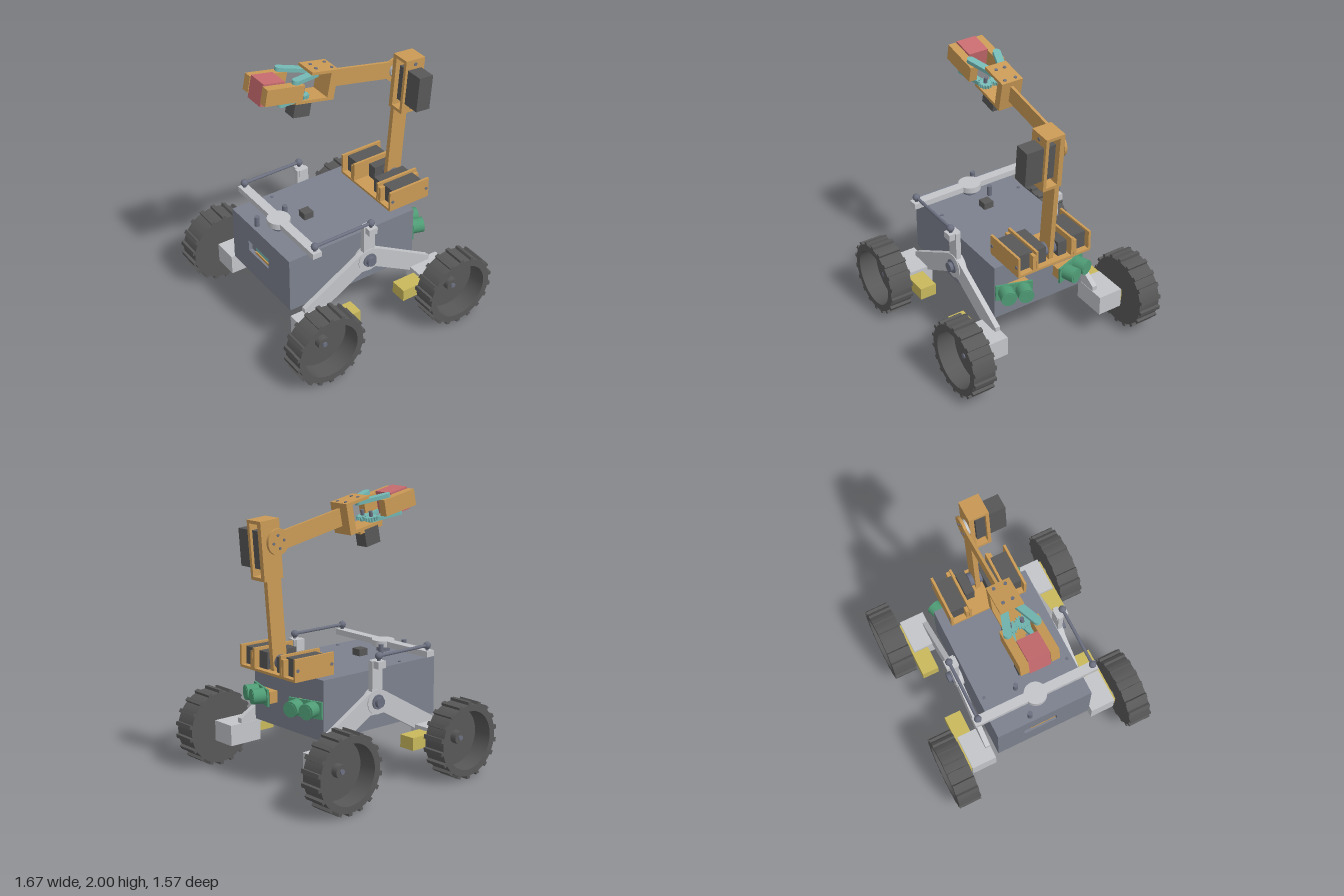
import * as THREE from 'three';
import { toCreasedNormals } from 'three/addons/utils/BufferGeometryUtils.js';

const mat = (name, color) => Object.assign(new THREE.MeshStandardMaterial({ color }), { name });
const M = {
  body: mat('slate body', 0x7c818e),
  dark: mat('dark grey', 0x585858),
  light: mat('light grey', 0xc3c5c9),
  metal: mat('metal grey', 0x6c7080),
  yellow: mat('motor yellow', 0xc8b85c),
  orange: mat('arm orange', 0xca9a56),
  green: mat('sensor green', 0x4f9c76),
  teal: mat('gripper teal', 0x74b9b5),
  red: mat('payload red', 0xc76b6f),
};

function add(parent, name, geo, material, x = 0, y = 0, z = 0) {
  const m = new THREE.Mesh(geo, material);
  m.name = name;
  m.position.set(x, y, z);
  parent.add(m);
  return m;
}
// Box given by its limits on each axis
function box(parent, name, material, x0, x1, y0, y1, z0, z1) {
  return add(parent, name, new THREE.BoxGeometry(x1 - x0, y1 - y0, z1 - z0), material,
    (x0 + x1) / 2, (y0 + y1) / 2, (z0 + z1) / 2);
}
// Cylinder along 'x', 'y' or 'z'
function cyl(parent, name, material, r, len, axis, x, y, z, sides = 24) {
  const g = new THREE.CylinderGeometry(r, r, len, sides);
  if (axis === 'x') g.rotateZ(-Math.PI / 2);
  if (axis === 'z') g.rotateX(Math.PI / 2);
  return add(parent, name, g, material, x, y, z);
}
function group(parent, name, x = 0, y = 0, z = 0) {
  const g = new THREE.Group();
  g.name = name;
  g.position.set(x, y, z);
  parent.add(g);
  return g;
}
const extrude = (shape, depth) =>
  new THREE.ExtrudeGeometry(shape, { depth, bevelEnabled: false, curveSegments: 16 });
const polygon = pts => new THREE.Shape(pts.map(p => new THREE.Vector2(...p)));
function rect(w, h) {
  return [[-w / 2, -h / 2], [w / 2, -h / 2], [w / 2, h / 2], [-w / 2, h / 2]];
}
function framePlate(w, h, hw, hh, depth, hx = 0, hy = 0) {
  const s = polygon(rect(w, h));
  s.holes.push(polygon(rect(hw, hh).map(([x, y]) => [x + hx, y + hy]).reverse()));
  return extrude(s, depth);
}
// Flat bar with rounded ends from (x0,z0) to (x1,z1)
function link(parent, name, x0, z0, x1, z1, y, width, thick) {
  const len = Math.hypot(x1 - x0, z1 - z0), r = width / 2;
  const s = new THREE.Shape();
  s.absarc(0, 0, r, Math.PI / 2, Math.PI * 1.5, false);
  s.absarc(len, 0, r, -Math.PI / 2, Math.PI / 2, false);
  const g = extrude(s, thick).rotateX(-Math.PI / 2);
  const m = add(parent, name, g, M.teal, x0, y - thick / 2, z0);
  m.rotation.y = -Math.atan2(z1 - z0, x1 - x0);
}

function buildBody(root) {
  const b = group(root, 'body');
  box(b, 'hull', M.body, -0.59, 0.432, 0.378, 0.805, -0.37, 0.37);
  // Rear panel with a slot showing the electronics behind it
  const panel = add(b, 'rearPanel', framePlate(0.74, 0.427, 0.26, 0.085, 0.03, -0.03, 0.02),
    M.body, -0.59, 0.5915, 0);
  panel.rotation.y = -Math.PI / 2;
  box(b, 'circuitBoard', M.teal, -0.596, -0.59, 0.575, 0.65, -0.1, 0.1);
  box(b, 'boardTray', M.orange, -0.605, -0.59, 0.57, 0.588, -0.1, 0.16);
  for (const z of [-0.33, 0.33]) cyl(b, 'lidScrew', M.metal, 0.012, 0.008, 'y', -0.313, 0.806, z, 12);
  for (const x of [-0.58, -0.35]) cyl(b, 'stopPin', M.metal, 0.018, 0.08, 'y', x, 0.842, -0.1);
  box(b, 'powerSwitch', M.dark, -0.275, -0.2, 0.805, 0.855, -0.035, 0.04);
  // Differential bar across the lid
  cyl(b, 'barPivot', M.metal, 0.05, 0.04, 'y', -0.465, 0.824, 0);
  cyl(b, 'barHub', M.light, 0.083, 0.045, 'y', -0.465, 0.864, 0, 32);
  box(b, 'differentialBar', M.light, -0.5, -0.43, 0.843, 0.886, -0.483, 0.483);
}

function buildWheel(parent, x) {
  const w = group(parent, 'wheel', x, 0.28, 0);
  const profile = [[0, 0.615], [0.26, 0.615], [0.26, 0.787], [0.212, 0.787], [0.208, 0.65], [0, 0.65]];
  const g = new THREE.LatheGeometry(profile.map(p => new THREE.Vector2(...p)), 48).rotateX(Math.PI / 2);
  add(w, 'rim', toCreasedNormals(g, 0.6), M.dark);
  cyl(w, 'hub', M.dark, 0.048, 0.06, 'z', 0, 0, 0.67);
  cyl(w, 'axle', M.metal, 0.018, 0.14, 'z', 0, 0, 0.64, 16);
  for (let i = 0; i < 18; i++) {
    const a = (i + 0.5) / 18 * Math.PI * 2;
    const lug = add(w, 'treadLug', new THREE.BoxGeometry(0.03, 0.025, 0.172), M.dark,
      Math.cos(a) * 0.268, Math.sin(a) * 0.268, 0.701);
    lug.rotation.z = a + Math.PI / 2;
  }
}

// One side's rocker with both wheels, built on +z and turned for the other side
function buildSide(root, s) {
  const side = group(root, s > 0 ? 'rightSuspension' : 'leftSuspension');
  if (s < 0) side.rotation.y = Math.PI;
  const half = [[0.047, 0.885], [0.047, 0.67], [0.085, 0.652], [0.54, 0.39], [0.54, 0.3],
    [0.47, 0.27], [0.295, 0.372], [0.063, 0.504]];
  const outline = [...half, ...half.map(([x, y]) => [-x, y]).reverse()].reverse();
  add(side, 'rocker', extrude(polygon(outline), 0.038), M.light, 0, 0, 0.398);
  cyl(side, 'rockerHub', M.light, 0.09, 0.062, 'z', 0, 0.593, 0.411, 32);
  cyl(side, 'washer', M.metal, 0.052, 0.012, 'z', 0, 0.593, 0.446);
  cyl(side, 'pivotBolt', M.metal, 0.036, 0.12, 'z', 0, 0.593, 0.418, 12);
  box(side, 'postCap', M.light, -0.035, 0.035, 0.835, 0.886, 0.39, 0.482);
  // Ball-jointed rod to the differential bar
  const rx = -0.465 * s;
  for (const x of [0, rx]) {
    cyl(side, 'ballStud', M.metal, 0.012, 0.05, 'y', x, 0.9, 0.45, 12);
    add(side, 'ballJoint', new THREE.SphereGeometry(0.027, 20, 14), M.metal, x, 0.92, 0.45);
  }
  cyl(side, 'tieRod', M.metal, 0.012, 0.465, 'x', rx / 2, 0.92, 0.45, 12);
  for (const e of [-1, 1]) {
    const ends = (a, b) => (e > 0 ? [a, b] : [-b, -a]);
    box(side, 'motorHousing', M.light, ...ends(0.372, 0.634), 0.205, 0.355, 0.395, 0.585);
    box(side, 'gearMotor', M.yellow, ...ends(0.187, 0.62), 0.238, 0.33, 0.476, 0.602);
    buildWheel(side, e * 0.557);
  }
}

function buildSensor(root, s) {
  // Wedge holding the board at an outward angle
  const pts = [[0.43, -0.37], [0.5, -0.12], [0.43, -0.12]];
  const wedge = extrude(polygon(s > 0 ? pts : pts.map(([x, y]) => [x, -y]).reverse()), 0.085).rotateX(-Math.PI / 2);
  add(root, 'sensorWedge', wedge, M.orange, 0, 0.55, 0);
  const g = group(root, 'rangeSensor', 0.478, 0.595, s * 0.24);
  g.rotation.y = -s * 0.31;
  add(g, 'sensorBoard', new THREE.BoxGeometry(0.015, 0.122, 0.265), M.green);
  for (const z of [-0.062, 0.062]) {
    cyl(g, 'sensorEye', M.green, 0.055, 0.095, 'x', 0.05, 0.005, z, 28);
    cyl(g, 'eyeFace', M.green, 0.042, 0.004, 'x', 0.098, 0.005, z, 28);
  }
}

function buildTurret(root) {
  const t = group(root, 'armBase');
  box(t, 'basePlate', M.orange, 0.275, 0.617, 0.807, 0.825, -0.3, 0.297);
  for (const s of [-1, 1]) {
    const zz = (a, b) => (s > 0 ? [a, b] : [-b, -a]);
    box(t, 'outerPlate', M.orange, 0.275, 0.617, 0.825, 0.965, ...zz(0.282, 0.3));
    box(t, 'innerPlate', M.orange, 0.275, 0.617, 0.825, 0.965, ...zz(0.136, 0.154));
    box(t, 'baseServo', M.dark, 0.32, 0.575, 0.825, 0.95, ...zz(0.158, 0.28));
    for (const x of [0.3, 0.595])
      box(t, 'servoTab', M.orange, x - 0.022, x + 0.022, 0.825, 0.94, ...zz(0.155, 0.18));
    cyl(t, 'plateScrew', M.metal, 0.012, 0.006, 'z', 0.297, 0.885, s * 0.302, 12);
    cyl(t, 'plateScrew', M.metal, 0.012, 0.006, 'z', 0.595, 0.885, s * 0.302, 12);
  }
  box(t, 'shoulderServo', M.dark, 0.32, 0.575, 0.825, 0.945, 0.045, 0.134);
  box(t, 'shoulderBlock', M.dark, 0.4, 0.575, 0.825, 0.935, -0.125, -0.055);
  cyl(t, 'shoulderShaft', M.metal, 0.05, 0.1, 'z', 0.515, 0.885, 0);
}

function buildArm(root) {
  // Upright link with the elbow servo in its frame
  const up = group(root, 'upperArm', 0.515, 0.885, 0);
  up.rotation.z = -0.08;
  box(up, 'uprightLink', M.orange, -0.06, 0.06, -0.06, 0.57, -0.018, 0.018);
  box(up, 'elbowPlate', M.orange, -0.08, 0.08, 0.57, 0.98, -0.018, 0.018);
  const frame = add(up, 'servoFrame', framePlate(0.16, 0.41, 0.118, 0.265, 0.024), M.orange, 0, 0.775, 0.104);
  frame.material = M.orange;
  box(up, 'frameTop', M.orange, -0.08, 0.08, 0.957, 0.98, 0.018, 0.104);
  box(up, 'frameBottom', M.orange, -0.08, 0.08, 0.57, 0.593, 0.018, 0.104);
  box(up, 'elbowServo', M.dark, -0.057, 0.057, 0.645, 0.905, 0.035, 0.258);
  for (const y of [0.607, 0.944]) cyl(up, 'frameScrew', M.metal, 0.013, 0.006, 'z', 0, y, 0.13, 12);

  // Forearm plate with a rounded elbow end
  const fore = group(root, 'forearm', 0.55, 1.715, -0.06);
  fore.rotation.z = -0.203;
  const s = new THREE.Shape();
  s.moveTo(-0.58, 0.063);
  s.lineTo(-0.58, -0.063);
  s.lineTo(-0.06, -0.063);
  s.absarc(0, 0, 0.09, -2.33, 2.33, false);
  s.lineTo(-0.06, 0.063);
  add(fore, 'forearmPlate', extrude(s, 0.02), M.orange);
  cyl(fore, 'elbowHorn', M.light, 0.055, 0.024, 'z', 0, 0, 0.031);
  for (let i = 0; i < 4; i++) {
    const a = i * Math.PI / 2;
    cyl(fore, 'hornScrew', M.metal, 0.01, 0.006, 'z', Math.cos(a) * 0.045, Math.sin(a) * 0.045, -0.002, 10);
  }
}

function gearGeometry(r, teeth, depth) {
  const pts = [];
  for (let i = 0; i < teeth * 4; i++) {
    const a = i / (teeth * 4) * Math.PI * 2, q = i % 4 < 2 ? r : r * 0.78;
    pts.push([Math.cos(a) * q, Math.sin(a) * q]);
  }
  return extrude(polygon(pts), depth).rotateX(-Math.PI / 2);
}

function buildGripper(root) {
  const g = group(root, 'gripper', -0.02, 1.83, -0.052);
  g.rotation.z = -0.2;
  // Wrist bracket
  box(g, 'wristTop', M.orange, -0.194, 0.02, 0.083, 0.104, -0.083, 0.083);
  box(g, 'wristBottom', M.orange, -0.285, 0.02, -0.12, -0.098, -0.083, 0.083);
  box(g, 'wristBack', M.orange, -0.035, 0.02, -0.1, 0.085, -0.083, 0.083);
  // Gripper servo below
  box(g, 'gripServo', M.dark, -0.25, -0.118, -0.25, -0.1, -0.07, 0.03);
  for (const x of [-0.27, -0.1]) box(g, 'servoMount', M.orange, x - 0.02, x + 0.02, -0.145, -0.115, -0.07, 0.03);
  box(g, 'payload', M.red, -0.567, -0.4, -0.1, 0.062, -0.076, 0.076);
  for (const s of [-1, 1]) {
    const zz = (a, b) => (s > 0 ? [a, b] : [-b, -a]);
    box(g, 'fingerPad', M.orange, -0.572, -0.28, -0.069, 0.049, ...zz(0.077, 0.138));
    link(g, 'upperLink', -0.134, s * 0.034, -0.335, s * 0.105, 0.067, 0.054, 0.028);
    link(g, 'lowerLink', -0.222, s * 0.044, -0.425, s * 0.105, -0.084, 0.05, 0.028);
    add(g, 'gear', gearGeometry(0.05, 14, 0.025), M.teal, -0.222, -0.085, s * 0.044);
    cyl(g, 'gearPin', M.metal, 0.014, 0.08, 'y', -0.222, -0.06, s * 0.044, 12);
    cyl(g, 'linkPin', M.metal, 0.012, 0.06, 'y', -0.134, 0.08, s * 0.034, 12);
    cyl(g, 'wristScrew', M.metal, 0.012, 0.006, 'y', -0.012, 0.106, s * 0.042, 12);
  }
}

export function createModel() {
  const root = new THREE.Group();
  root.name = 'rover';
  buildBody(root);
  for (const s of [1, -1]) {
    buildSide(root, s);
    buildSensor(root, s);
  }
  buildTurret(root);
  buildArm(root);
  buildGripper(root);
  return root;
}
